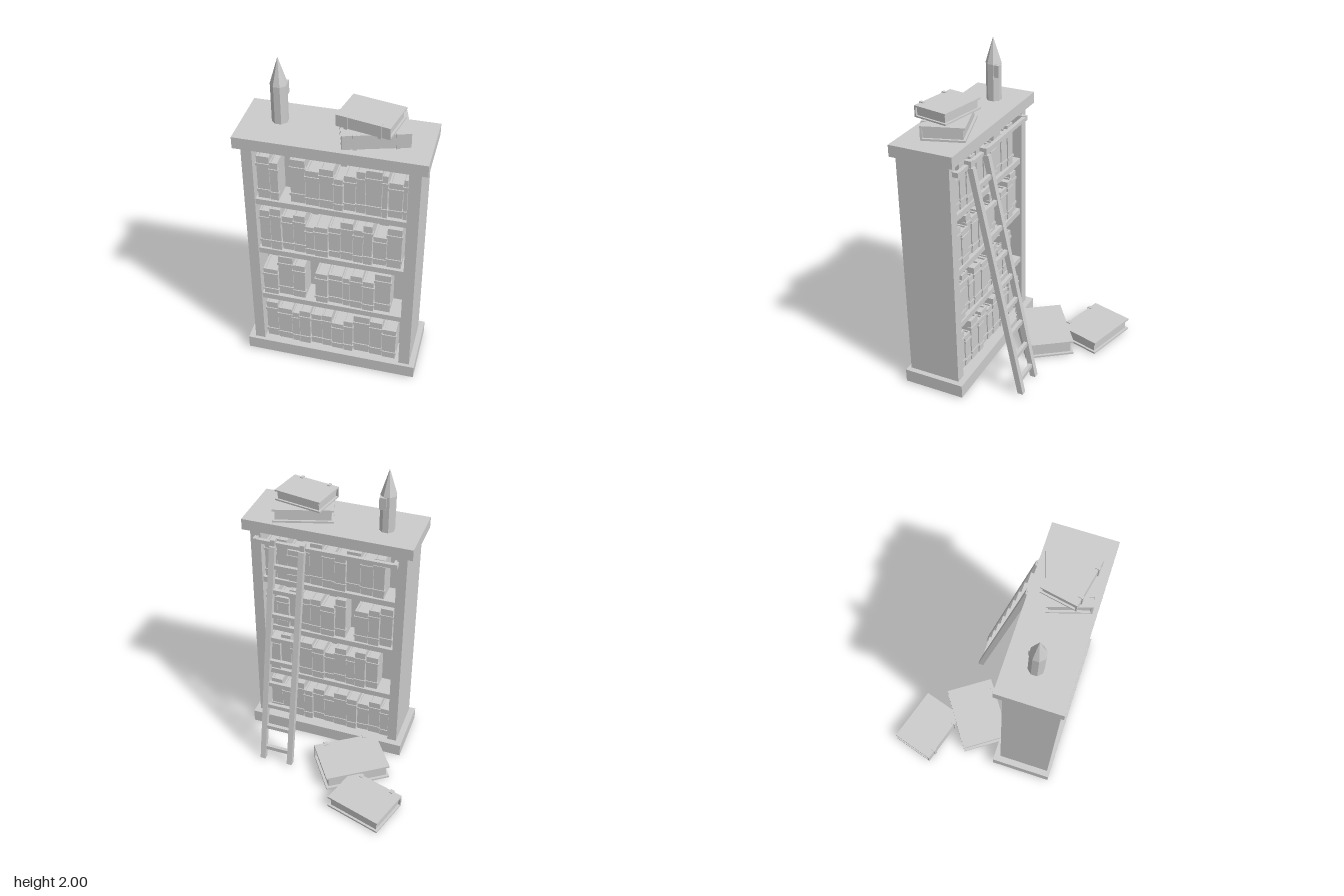
import * as THREE from 'three';

const grey = new THREE.MeshStandardMaterial({ color: 0xcccccc });
grey.name = 'plain grey';

// Box given by its lower and upper limits on each axis
function box(parent, name, [x0, x1], [y0, y1], [z0, z1]) {
  const mesh = new THREE.Mesh(new THREE.BoxGeometry(x1 - x0, y1 - y0, z1 - z0), grey);
  mesh.position.set((x0 + x1) / 2, (y0 + y1) / 2, (z0 + z1) / 2);
  mesh.name = name;
  parent.add(mesh);
  return mesh;
}

// Book lying flat: length on x, thickness on y, spine at +z
function book(name, length, thick, depth) {
  const g = new THREE.Group();
  g.name = name;
  const l = length / 2, t = thick / 2, d = depth / 2;
  const c = Math.min(0.012, thick * 0.14), inset = length * 0.04;
  for (const s of [-1, 1]) {
    const y = s * (t - c / 2);
    box(g, 'cover', [-l, l], [y - c / 2, y + c / 2], [-d, d]);
    const x = s * length * 0.31, w = length * 0.03;
    box(g, 'spineBand', [x - w, x + w], [-t - 0.005, t + 0.005], [d - 0.022, d + 0.006]);
  }
  box(g, 'spine', [-l, l], [-t + c, t - c], [d - c, d]);
  box(g, 'pages', [-l + inset, l - inset], [-t + c, t - c], [-d + inset, d - c]);
  return g;
}

// Rows of books as [width, height] in hundredths; height 0 is a gap
const frontRows = [
  [[7.4, 28.5], [9, 25.5], [4.8, 24], [6.9, 27], [6.9, 24.5], [6.3, 25.5], [7.4, 21], [5.8, 25], [10, 29.5], [7.9, 27.5], [8.5, 23.5]],
  [[9, 19.5], [9, 29.5], [7.4, 25], [6.3, 0], [7.4, 22.5], [8.5, 22], [4.8, 21.5], [7.4, 25], [6.9, 22.5], [9.5, 28.5]],
  [[6.3, 27], [6.3, 29.5], [6.9, 24], [6.9, 26.5], [5.3, 20], [7.9, 21.5], [6.9, 21.5], [7.4, 27], [5.8, 23.5], [5.3, 28], [7.9, 20], [8.5, 28]],
  [[7.4, 28], [4.8, 25], [6.4, 0], [8.5, 28.5], [7.9, 23], [7.9, 26], [5.3, 21], [6.9, 23], [5.3, 27.5], [9, 29.5], [3.2, 28], [7.9, 23], [2.5, 26.5]],
];
const backRows = [
  [[8, 27], [7, 22], [9, 29], [6, 24], [8, 26], [7, 23], [9, 27], [7, 25], [8, 22], [8, 26], [6, 23]],
  [[8, 25], [7, 28], [6, 22], [9, 26], [8, 24], [7, 21], [8, 27], [6, 23], [7, 28], [8, 25]],
  [[7, 26], [8, 22], [6, 28], [8, 24], [7, 25], [9, 22], [7, 28], [6, 0], [9, 23], [7, 26], [8, 28]],
  [[8, 24], [7, 28], [8, 22], [6, 26], [8, 29], [8, 26], [7, 24], [9, 28], [8, 25], [7, 27]],
];
const shelfTops = [0.095, 0.475, 0.84, 1.2];

// Fill one side of the bookcase; the group starts at its first book
function fillSide(name, rows) {
  const side = new THREE.Group();
  side.name = name;
  rows.forEach((row, r) => {
    let x = 0;
    row.forEach(([w, h], i) => {
      if (h) {
        const depth = 0.125 + ((i * 5 + r * 3) % 4) * 0.005;
        const b = book('shelfBook', h / 100, w / 100 - 0.004, depth);
        b.rotation.z = Math.PI / 2;
        b.position.set(x + w / 200, shelfTops[r] + h / 200, depth / 2);
        side.add(b);
      }
      x += w / 100;
    });
  });
  return side;
}

export function createModel() {
  const model = new THREE.Group();
  model.name = 'bookcaseScene';

  // Bookcase
  const bookcase = new THREE.Group();
  bookcase.name = 'bookcase';
  box(bookcase, 'base', [-0.46, 0.583], [0.01, 0.095], [0.145, 0.535]);
  box(bookcase, 'topBoard', [-0.46, 0.585], [1.545, 1.615], [0.145, 0.535]);
  box(bookcase, 'sidePanel', [-0.42, -0.36], [0.095, 1.545], [0.185, 0.515]);
  box(bookcase, 'sidePanel', [0.485, 0.55], [0.095, 1.545], [0.185, 0.515]);
  box(bookcase, 'middlePanel', [-0.36, 0.485], [0.095, 1.545], [0.34, 0.36]);
  for (const y of shelfTops.slice(1)) {
    box(bookcase, 'shelf', [-0.36, 0.485], [y - 0.037, y], [0.195, 0.505]);
  }
  model.add(bookcase);

  // Books on the front and back shelves
  const front = fillSide('frontBooks', frontRows);
  front.position.set(-0.35, 0, 0.355);
  const back = fillSide('backBooks', backRows);
  back.rotation.y = Math.PI;
  back.position.set(0.475, 0, 0.345);
  model.add(front, back);

  // Loose books: length, thickness, depth, x, y, z, turn
  for (const [l, t, d, x, y, z, turn] of [
    [0.36, 0.085, 0.25, 0.262, 1.66, 0.336, 0.303],
    [0.304, 0.068, 0.22, 0.247, 1.739, 0.349, -0.197],
    [0.42, 0.1, 0.313, -0.188, 0.057, -0.055, 0.605],
    [0.367, 0.085, 0.278, -0.372, 0.052, -0.35, -0.295],
  ]) {
    const b = book('looseBook', l, t, d);
    b.position.set(x, y, z);
    b.rotation.y = turn;
    model.add(b);
  }

  // Rail across the back, with end brackets
  box(model, 'ladderRail', [-0.36, 0.51], [1.468, 1.492], [0.148, 0.172]);
  for (const x of [-0.37, 0.495]) box(model, 'railBracket', [x, x + 0.025], [1.465, 1.495], [0.148, 0.2]);

  // Leaning ladder: sheared side rails, hooks and rungs
  const ladder = new THREE.Group();
  ladder.name = 'ladder';
  const run = 0.298, rise = 1.465;
  for (const x of [0.202, 0.387]) {
    const geo = new THREE.BoxGeometry(0.035, rise, 0.036);
    const pos = geo.attributes.position;
    for (let i = 0; i < pos.count; i++) pos.setZ(i, pos.getZ(i) + pos.getY(i) * run / rise);
    geo.computeVertexNormals();
    const rail = new THREE.Mesh(geo, grey);
    rail.name = 'ladderSide';
    rail.position.set(x, 0.01 + rise / 2, -0.011);
    ladder.add(rail);
    box(ladder, 'hookTop', [x - 0.014, x + 0.014], [1.492, 1.515], [0.132, 0.175]);
    box(ladder, 'hookFront', [x - 0.014, x + 0.014], [1.455, 1.492], [0.132, 0.148]);
    box(ladder, 'hookTip', [x - 0.014, x + 0.014], [1.455, 1.492], [0.168, 0.175]);
  }
  for (let i = 0; i < 9; i++) {
    const z = -0.1435 + i * 0.032, y = 0.01 + (z + 0.16) * rise / run;
    box(ladder, 'rung', [0.215, 0.375], [y - 0.014, y + 0.014], [z - 0.011, z + 0.011]);
  }
  model.add(ladder);

  // Small octagonal tower ornament with a pointed roof
  const tower = new THREE.Group();
  tower.name = 'towerOrnament';
  const body = new THREE.Mesh(new THREE.CylinderGeometry(0.046, 0.046, 0.23, 8), grey);
  body.geometry = body.geometry.toNonIndexed();
  body.geometry.computeVertexNormals();
  body.name = 'towerBody';
  body.position.y = 1.73;
  const roof = new THREE.Mesh(new THREE.ConeGeometry(0.048, 0.157, 8).toNonIndexed(), grey);
  roof.geometry.computeVertexNormals();
  roof.name = 'towerRoof';
  roof.position.y = 1.9215;
  for (const m of [body, roof]) m.rotation.y = Math.PI / 8;
  tower.add(body, roof);
  box(tower, 'towerBay', [0, 0.04], [1.765, 1.84], [-0.052, -0.02]);
  tower.position.set(-0.256, 0, 0.317);
  model.add(tower);

  return model;
}
